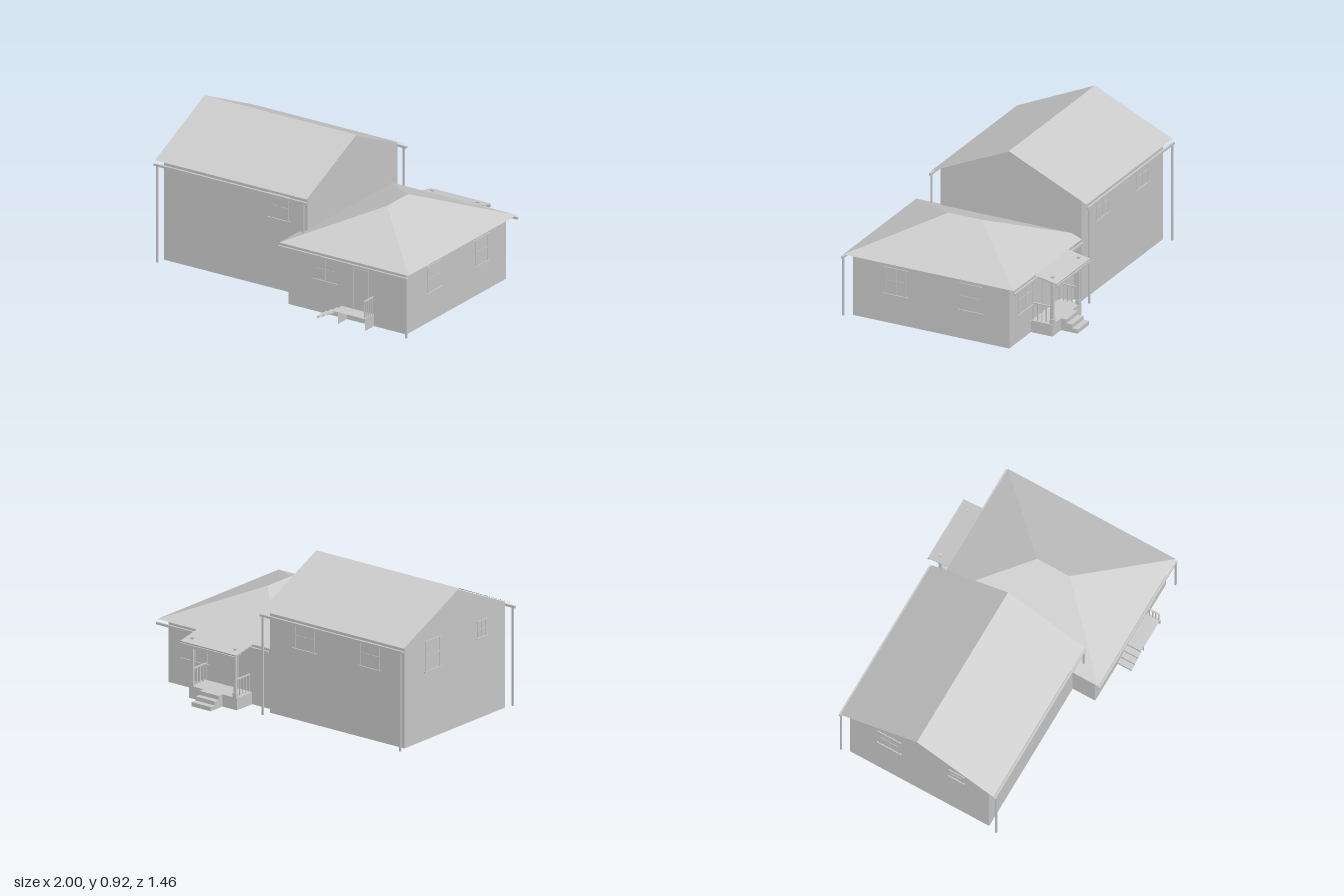
import * as THREE from 'three';

const grey = new THREE.MeshStandardMaterial({ color: 0xcccccc, side: THREE.DoubleSide });
grey.name = 'plain grey';

// Face order of a box, used to leave some faces open
const FACES = ['right', 'left', 'top', 'bottom', 'front', 'back'];

export function createModel() {
  const house = new THREE.Group();
  house.name = 'house';

  const add = (name, geometry, parent = house) => {
    const mesh = new THREE.Mesh(geometry, grey);
    mesh.name = name;
    parent.add(mesh);
    return mesh;
  };

  // Box given by its lower and upper limits on each axis
  const box = (name, x0, x1, y0, y1, z0, z1, parent = house) => {
    const mesh = add(name, new THREE.BoxGeometry(x1 - x0, y1 - y0, z1 - z0), parent);
    mesh.position.set((x0 + x1) / 2, (y0 + y1) / 2, (z0 + z1) / 2);
    return mesh;
  };

  // Box shell with the listed faces left out
  const shell = (open, ...limits) => {
    const { geometry } = box(...limits);
    const kept = Array.from(geometry.index.array).filter((_, i) => !open.includes(FACES[Math.floor(i / 6)]));
    geometry.setIndex(kept);
    geometry.clearGroups();
  };

  // Flat sheet made of convex polygons, each a list of corners
  const sheet = (name, polygons) => {
    const points = [];
    for (const p of polygons)
      for (let i = 1; i < p.length - 1; i++) points.push(...p[0], ...p[i], ...p[i + 1]);
    const geometry = new THREE.BufferGeometry();
    geometry.setAttribute('position', new THREE.Float32BufferAttribute(points, 3));
    geometry.computeVertexNormals();
    return add(name, geometry);
  };

  // Group placed on a wall, its local +z facing outwards
  const onWall = (name, x, y, z, turn) => {
    const group = new THREE.Group();
    group.name = name;
    group.position.set(x, y, z);
    group.rotation.y = turn;
    house.add(group);
    return group;
  };

  // Sash window standing on its sill
  const sashWindow = (x, y, z, turn, w, h) => {
    const g = onWall('window', x, y, z, turn);
    const a = w / 2, b = 0.01, d = 0.004;
    box('pane', -a, a, 0, h, -0.004, 0.001, g);
    box('windowJambRight', -a, -a + b, 0, h, 0, d, g);
    box('windowJambLeft', a - b, a, 0, h, 0, d, g);
    box('windowHead', -a - 0.012, a + 0.012, h - 0.006, h, 0, d + 0.002, g);
    box('windowRail', -a + b, a - b, h * 0.48, h * 0.53, 0, d, g);
    box('windowMullion', -0.003, 0.003, b, h - b, 0, 0.003, g);
    box('windowSill', -a - 0.014, a + 0.014, -0.003, 0.003, 0, 0.008, g);
  };

  // Framed door
  const door = (x, y, z, turn, w, h) => {
    const g = onWall('door', x, y, z, turn);
    const a = w / 2, b = 0.008;
    box('doorLeaf', -a + b, a - b, 0, h - b, -0.004, 0.001, g);
    box('doorJambRight', -a, -a + b, 0, h, 0, 0.004, g);
    box('doorJambLeft', a - b, a, 0, h, 0, 0.004, g);
    box('doorHead', -a, a, h - b, h, 0, 0.004, g);
  };

  // Railing running along z
  const railing = (x, z0, z1, y0, y1) => {
    box('handrail', x - 0.005, x + 0.005, y1 - 0.007, y1, z0, z1);
    const count = 5;
    for (let i = 0; i < count; i++) {
      const z = z0 + 0.006 + ((z1 - z0 - 0.012) * i) / (count - 1);
      box('baluster', x - 0.003, x + 0.003, y0, y1 - 0.007, z - 0.003, z + 0.003);
    }
  };

  const downspout = (x, z, top) => box('downspout', x - 0.006, x + 0.006, 0, top, z - 0.005, z + 0.005);

  // Two-storey block with gable ends
  const gable = new THREE.Shape([[-0.47, 0], [0.52, 0], [0.52, 0.692], [0.025, 0.91], [-0.47, 0.692]]
    .map(([u, v]) => new THREE.Vector2(u, v)));
  const block = add('mainWalls', new THREE.ExtrudeGeometry(gable, { depth: 1.07, bevelEnabled: false }));
  block.rotation.y = Math.PI / 2;
  block.position.x = -0.965;

  // Main roof, gutters and downspouts
  sheet('mainRoof', [
    [[-1, 0.674, 0.52], [0.135, 0.674, 0.52], [0.135, 0.922, -0.025], [-1, 0.922, -0.025]],
    [[0.135, 0.674, -0.57], [-1, 0.674, -0.57], [-1, 0.922, -0.025], [0.135, 0.922, -0.025]],
  ]);
  for (const z of [0.527, -0.577]) {
    box('mainGutter', -1, 0.135, 0.642, 0.656, z - 0.007, z + 0.007);
    for (const x of [-0.979, 0.114]) downspout(x, z, 0.645);
  }

  // Single-storey wing, open beneath its raised floor
  shell(['bottom'], 'wingWalls', 0.075, 0.955, 0, 0.422, -0.465, 0.63);
  sheet('wingFloor', [[[0.075, 0.08, 0.63], [0.075, 0.08, -0.465], [0.955, 0.08, -0.465], [0.955, 0.08, 0.63]]]);

  // Hipped wing roof
  const [fl, fr, br, bl] = [[0.035, 0.417, 0.675], [1, 0.417, 0.675], [1, 0.417, -0.52], [0.035, 0.417, -0.52]];
  const front = [0.515, 0.61, 0.195], back = [0.515, 0.61, -0.035];
  sheet('wingRoof', [[fl, fr, front], [fr, br, back, front], [br, bl, back], [bl, fl, front, back]]);
  box('wingFrontGutter', 0.035, 1, 0.386, 0.401, 0.675, 0.688);
  box('wingBackGutter', 0.11, 1, 0.386, 0.401, -0.533, -0.52);
  downspout(0.987, 0.681, 0.39);

  // Windows and doors
  const H = Math.PI / 2;
  sashWindow(-0.105, 0.47, 0.47, 0, 0.14, 0.165);
  sashWindow(0.35, 0.215, 0.63, 0, 0.16, 0.15);
  for (const z of [0.328, -0.195]) sashWindow(0.955, 0.193, z, H, 0.146, 0.182);
  for (const x of [-0.17, -0.69]) sashWindow(x, 0.465, -0.52, 2 * H, 0.16, 0.17);
  sashWindow(0.74, 0.18, -0.465, 2 * H, 0.2, 0.19);
  sashWindow(-0.965, 0.445, -0.24, -H, 0.145, 0.2);
  sashWindow(-0.965, 0.525, 0.24, -H, 0.09, 0.112);
  door(0.615, 0.08, 0.63, 0, 0.12, 0.275);
  door(0.46, 0.08, -0.465, 2 * H, 0.12, 0.275);

  // Front stoop, its side steps and railing, open at the front
  const stoopOpen = ['bottom', 'front', 'back'];
  shell(stoopOpen, 'frontStoop', 0.51, 0.712, 0, 0.08, 0.63, 0.73);
  for (let i = 0; i < 4; i++) {
    const x = 0.355 + i * 0.039;
    shell([...stoopOpen, 'right'], 'frontStep', x, x + 0.039, i * 0.02, (i + 1) * 0.02, 0.63, 0.73);
  }
  railing(0.704, 0.63, 0.728, 0.08, 0.195);

  // Back porch floor, steps, posts and railings
  shell(['bottom', 'front'], 'backPorchFloor', 0.29, 0.67, 0, 0.08, -0.615, -0.465);
  for (let i = 0; i < 3; i++)
    shell(['bottom', 'front'], 'backStep', 0.405, 0.557, 0, 0.08 - i * 0.026, -0.653 - i * 0.039, -0.615 - i * 0.038);
  for (const x of [0.31, 0.65]) {
    box('porchPost', x - 0.009, x + 0.009, 0.08, 0.398, -0.614, -0.597);
    box('postPlinth', x - 0.014, x + 0.014, 0.08, 0.11, -0.618, -0.592);
    railing(x, -0.597, -0.465, 0.08, 0.195);
  }
  box('porchBeam', 0.27, 0.69, 0.365, 0.38, -0.612, -0.598);

  // Sloping porch roof
  const porchRoof = box('porchRoof', 0.26, 0.703, 0, 0.008, -0.101, 0.101);
  porchRoof.position.set(0.4815, 0.392, -0.562);
  porchRoof.rotation.x = -0.18;
  box('porchGutter', 0.26, 0.703, 0.353, 0.369, -0.668, -0.654);

  return house;
}
